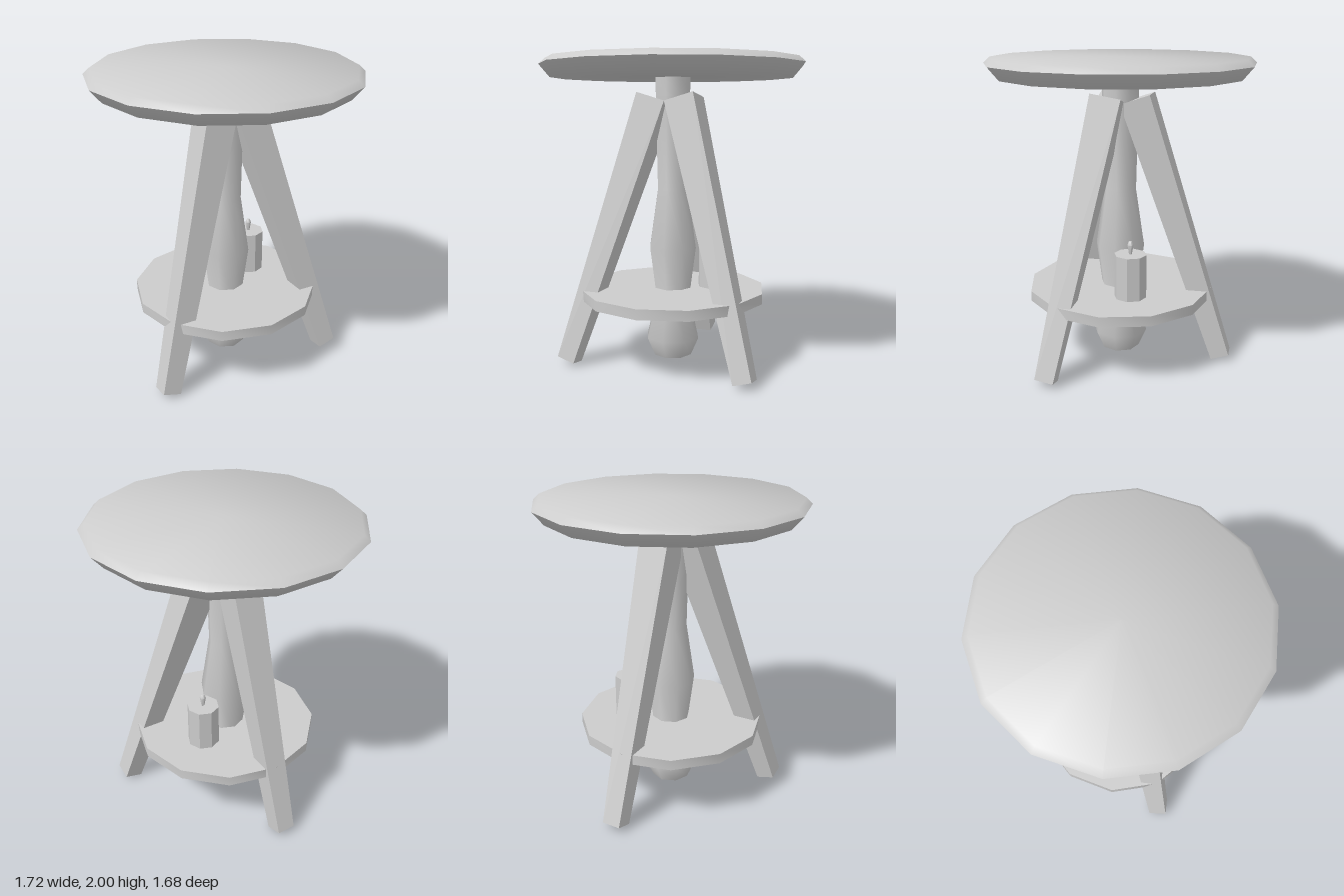
import * as THREE from 'three';
import { toCreasedNormals } from 'three/addons/utils/BufferGeometryUtils.js';

const grey = new THREE.MeshStandardMaterial({ color: 0xcccccc });
grey.name = 'plainGrey';

// Faceted turned part from [radius, y] pairs, listed bottom to top
function turned(name, profile, sides, crease = Math.PI / 3, start = 0) {
  const points = profile.map(([r, y]) => new THREE.Vector2(r, y));
  const geometry = new THREE.LatheGeometry(points, sides, start);
  const mesh = new THREE.Mesh(toCreasedNormals(geometry, crease), grey);
  mesh.name = name;
  return mesh;
}

// Square leg, wider at the top, leaning from its foot to the hub
function leg(name, angle) {
  const dir = new THREE.Vector3(Math.sin(angle), 0, Math.cos(angle));
  const foot = dir.clone().multiplyScalar(0.697).setY(0.027);
  const top = dir.clone().multiplyScalar(0.113).setY(1.743);
  const axis = top.clone().sub(foot);
  const geometry = new THREE.BoxGeometry(1, axis.length(), 1);
  const pos = geometry.attributes.position;
  for (let i = 0; i < pos.count; i++) {
    const width = pos.getY(i) > 0 ? 0.2 : 0.122;
    pos.setX(i, pos.getX(i) * width);
    pos.setZ(i, pos.getZ(i) * width);
  }
  geometry.computeVertexNormals();
  const mesh = new THREE.Mesh(geometry, grey);
  mesh.name = name;
  mesh.quaternion.setFromUnitVectors(new THREE.Vector3(0, 1, 0), axis.normalize());
  mesh.position.addVectors(foot, top).multiplyScalar(0.5);
  return mesh;
}

export function createModel() {
  const model = new THREE.Group();
  model.name = 'roundTable';

  // Bevelled round top
  model.add(turned('tableTop',
    [[0, 1.88], [0.79, 1.88], [0.86, 1.963], [0.82, 2], [0, 2]], 14, Math.PI / 3, Math.PI / 2));

  // Turned centre post
  model.add(turned('centrePost',
    [[0, 0.035], [0.13, 0.035], [0.183, 0.155], [0.117, 0.43], [0.163, 0.77],
      [0.106, 1.15], [0.12, 1.76], [0.12, 1.9]], 8));

  // Lower shelf
  model.add(turned('shelf',
    [[0, 0.43], [0.615, 0.43], [0.615, 0.497], [0, 0.497]], 12));

  // Three legs spaced evenly around the post
  const third = (2 * Math.PI) / 3;
  model.add(leg('leftLeg', third / 2), leg('rightLeg', -third / 2), leg('backLeg', Math.PI));

  // Candle standing on the shelf
  const candle = new THREE.Group();
  candle.name = 'candle';
  candle.position.set(0.248, 0, -0.12);
  candle.add(turned('candleBody',
    [[0, 0.49], [0.105, 0.49], [0.105, 0.785], [0, 0.785]], 8, 0.6));
  candle.add(turned('candleWick',
    [[0.009, 0.78], [0.02, 0.845], [0.011, 0.868], [0, 0.872]], 6));
  model.add(candle);

  return model;
}
